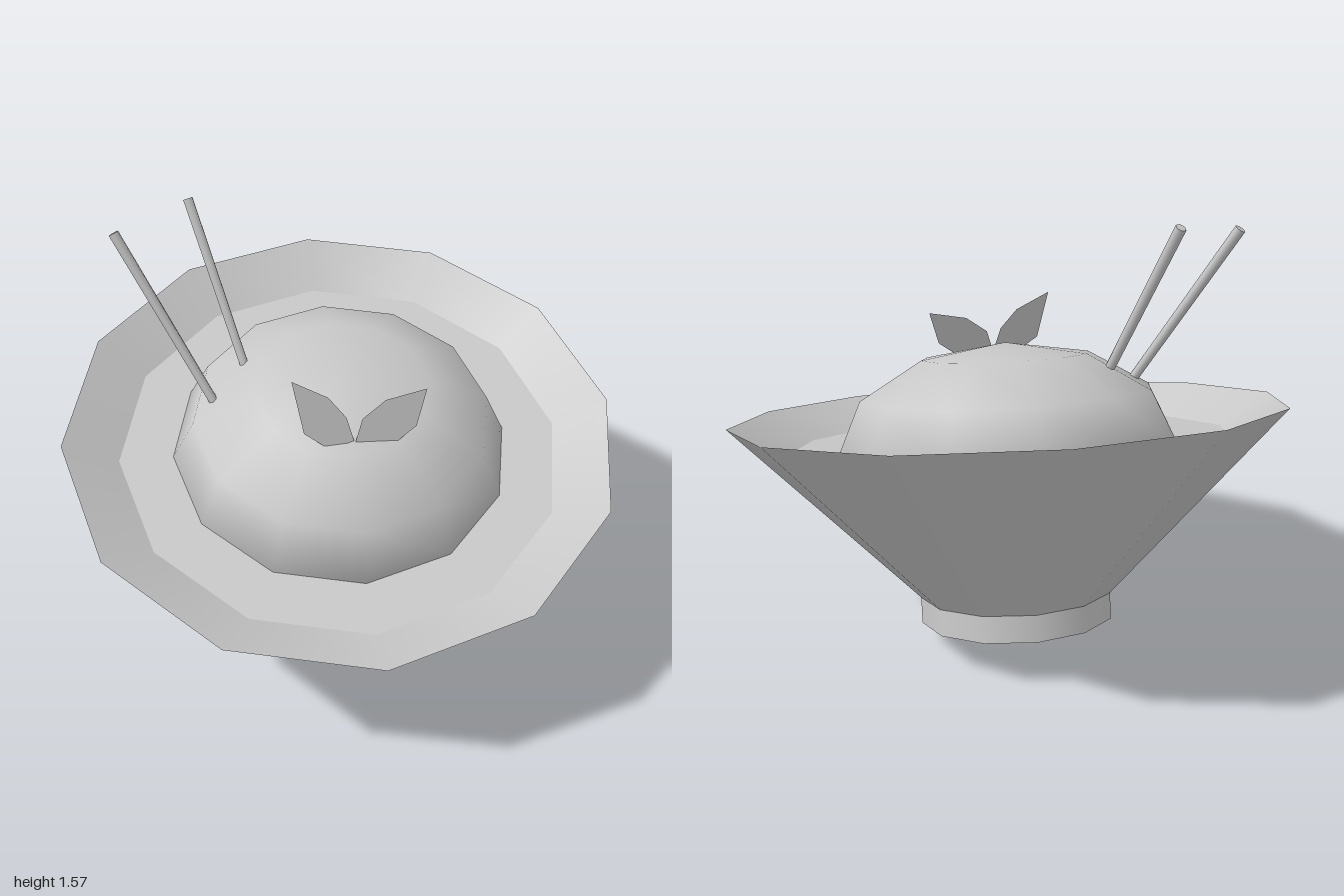
import * as THREE from 'three';

export function createModel() {
  const model = new THREE.Group();
  model.name = 'tiltedRiceBowl';
  const grey = new THREE.MeshStandardMaterial({ color: 0xc8c8c8 });
  grey.name = 'plainGrey';
  const sheet = new THREE.MeshStandardMaterial({ color: 0xc8c8c8, side: THREE.DoubleSide });
  sheet.name = 'leafGrey';
  const SIDES = 12;

  const add = (parent, name, geometry, material = grey) => {
    const mesh = new THREE.Mesh(geometry, material);
    mesh.name = name;
    parent.add(mesh);
    return mesh;
  };

  // Bowl, leaning forward by 15 degrees
  const bowl = new THREE.Group();
  bowl.name = 'bowl';
  bowl.position.set(0, 0.092, -0.197);
  bowl.rotation.x = THREE.MathUtils.degToRad(15);
  model.add(bowl);

  const footH = 0.096, rimY = 0.762, fillY = 0.648;
  add(bowl, 'foot', new THREE.CylinderGeometry(0.356, 0.356, footH, SIDES)).position.y = footH / 2;
  add(bowl, 'outerWall', new THREE.CylinderGeometry(1, 0.356, rimY - footH, SIDES, 1, true))
    .position.y = (rimY + footH) / 2;
  add(bowl, 'innerWall', new THREE.LatheGeometry(
    [new THREE.Vector2(1, rimY), new THREE.Vector2(0.81, fillY)], SIDES));
  add(bowl, 'filling', new THREE.CircleGeometry(0.81, SIDES).rotateX(-Math.PI / 2)).position.y = fillY;

  // Rounded heap rising from the filling
  const heap = add(bowl, 'heap',
    new THREE.SphereGeometry(0.615, SIDES, 3, 0, Math.PI * 2, 0, Math.PI / 2));
  heap.scale.y = 0.36 / 0.615;
  heap.position.y = fillY;

  // Two sticks pushed into the heap
  const stick = (name, from, to) => {
    const a = new THREE.Vector3(...from), b = new THREE.Vector3(...to);
    const dir = b.clone().sub(a);
    const mesh = add(model, name, new THREE.CylinderGeometry(0.019, 0.017, dir.length(), 6));
    mesh.position.copy(a).add(b).multiplyScalar(0.5);
    mesh.quaternion.setFromUnitVectors(new THREE.Vector3(0, 1, 0), dir.normalize());
  };
  stick('outerStick', [-0.43, 0.89, -0.03], [-0.74, 1.515, -0.243]);
  stick('innerStick', [-0.315, 0.95, -0.12], [-0.482, 1.56, -0.385]);

  // Two flat leaves leaning slightly back
  const leaf = (name, outline) => {
    const geometry = new THREE.ShapeGeometry(
      new THREE.Shape(outline.map(([x, y]) => new THREE.Vector2(x, y))));
    const p = geometry.attributes.position;
    for (let i = 0; i < p.count; i++) p.setZ(i, 0.307 - 0.2 * (p.getY(i) - 0.94));
    geometry.computeVertexNormals();
    add(model, name, geometry, sheet);
  };
  leaf('rightLeaf', [[-0.003, 0.965], [-0.027, 1.05], [-0.085, 1.125],
    [-0.203, 1.19], [-0.17, 1.005], [-0.085, 0.94]]);
  leaf('leftLeaf', [[0, 0.955], [0.118, 0.93], [0.21, 1.0],
    [0.246, 1.128], [0.107, 1.1], [0.027, 1.04]]);

  return model;
}
